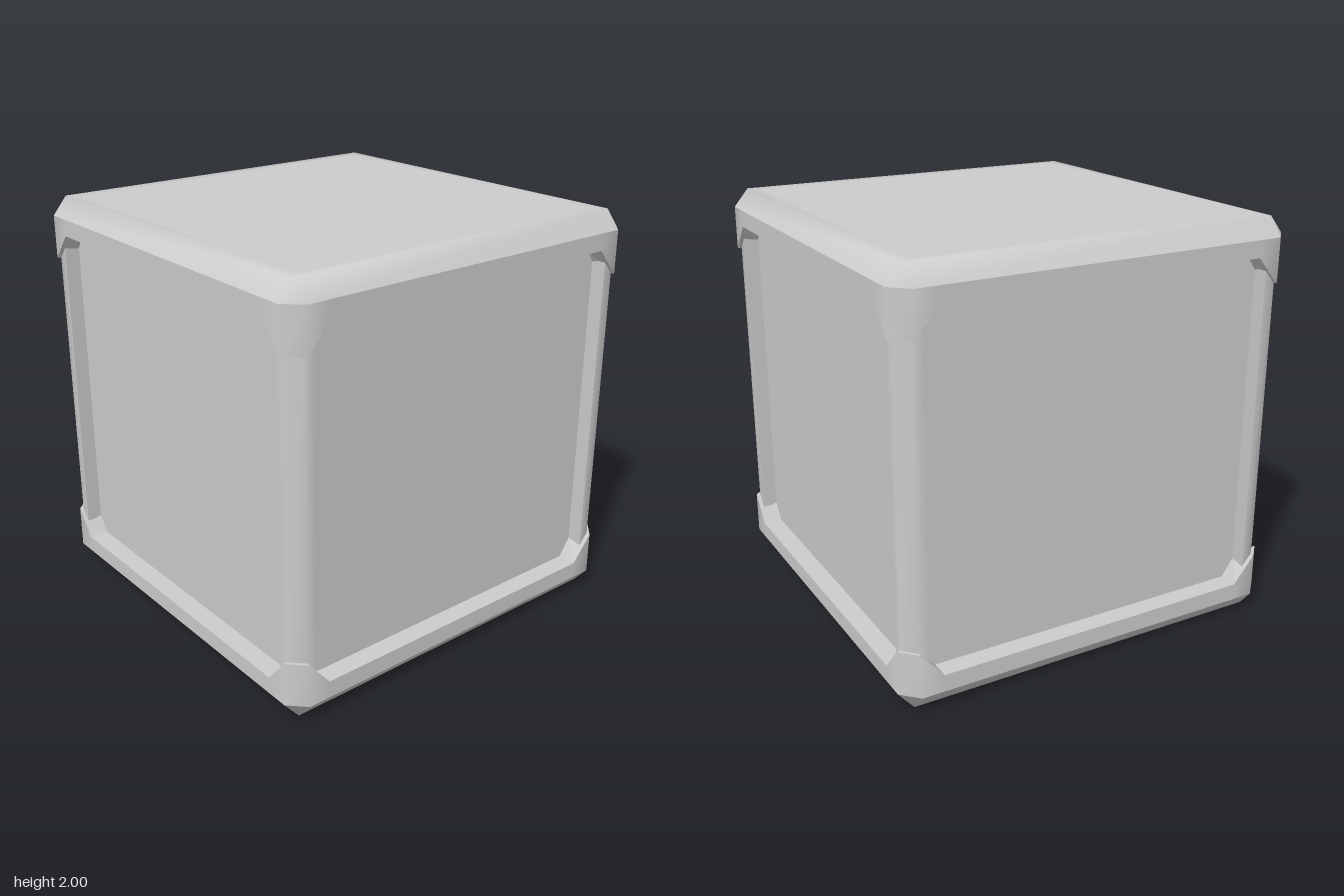
import * as THREE from 'three';
import { mergeVertices } from 'three/addons/utils/BufferGeometryUtils.js';

const material = new THREE.MeshStandardMaterial({ color: 0xcccccc, side: THREE.DoubleSide });

// Surface through rows of [x, y, z] points (rows run downward or outward, points run to the right).
function sheet(name, rows, { closed = false, flat = false } = {}) {
  const n = rows[0].length;
  const index = [];
  for (let i = 0; i < rows.length - 1; i++) {
    for (let j = 0; j < (closed ? n : n - 1); j++) {
      const k = (j + 1) % n;
      const a = i * n + j, b = a + n, c = i * n + k, d = c + n;
      index.push(a, b, c, c, b, d);
    }
  }
  let geometry = new THREE.BufferGeometry();
  geometry.setAttribute('position', new THREE.Float32BufferAttribute(rows.flat(2), 3));
  geometry.setIndex(index);
  geometry = flat ? geometry.toNonIndexed() : mergeVertices(geometry);
  geometry.computeVertexNormals();
  const mesh = new THREE.Mesh(geometry, material);
  mesh.name = name;
  return mesh;
}

// Repeats a [along, height, depth] profile of one side around all four sides.
function ring(profile) {
  const points = [];
  for (let s = 0; s < 4; s++) {
    for (const [u, y, d] of profile) {
      points.push([[u, y, d], [d, y, -u], [-u, y, -d], [-d, y, u]][s]);
    }
  }
  return points;
}

// Heights here are measured from the middle of the cube.
function createCap(name) {
  const cap = new THREE.Group();
  cap.name = name;
  const level = (u, y, d) => ring([[-u, y, d], [u, y, d]]);

  // Flat lid with a soft bevel
  cap.add(sheet('lid', [
    level(0, 1, 0), level(0.87, 1, 0.87), level(0.925, 1, 0.925), level(0.92, 0.913, 1),
  ], { closed: true }));

  // Rim that reaches further down at the corners
  const edge = (corner, depth) => ring([
    [-corner, 0.7, depth], [-0.81, 0.83, depth], [0.81, 0.83, depth], [corner, 0.7, depth],
  ]);
  const upper = ring([-0.92, -0.81, 0.81, 0.92].map((u) => [u, 0.913, 1]));
  cap.add(sheet('rim', [upper, edge(0.92, 1)], { closed: true }));
  cap.add(sheet('rimUnderside', [edge(0.92, 1), edge(0.9, 0.88)], { closed: true, flat: true }));
  return cap;
}

// Corner post: a rounded outer face and two side walls
function createPost() {
  const post = new THREE.Group();
  post.name = 'cornerPost';
  const column = (name, plan) => post.add(sheet(name,
    [0.79, -0.79].map((y) => plan.map(([x, z]) => [x, y, z]))));
  column('postFace', [[0.87, 0.98], [0.92, 0.98], [0.98, 0.92], [0.98, 0.87]]);
  column('postFrontWall', [[0.87, 0.88], [0.87, 0.98]]);
  column('postSideWall', [[0.98, 0.87], [0.88, 0.87]]);
  return post;
}

export function createModel() {
  const model = new THREE.Group();
  model.name = 'cube';
  const body = new THREE.Group();
  body.name = 'body';
  body.position.y = 1;
  model.add(body);

  // Recessed side panels
  const panels = new THREE.Mesh(new THREE.BoxGeometry(1.81, 1.8, 1.81), material);
  panels.name = 'sidePanels';
  body.add(panels);

  // Matching caps above and below
  const bottom = createCap('bottomCap');
  bottom.rotation.x = Math.PI;
  body.add(createCap('topCap'), bottom);

  // Four corner posts
  for (let i = 0; i < 4; i++) {
    const post = createPost();
    post.rotation.y = (i * Math.PI) / 2;
    body.add(post);
  }
  return model;
}
